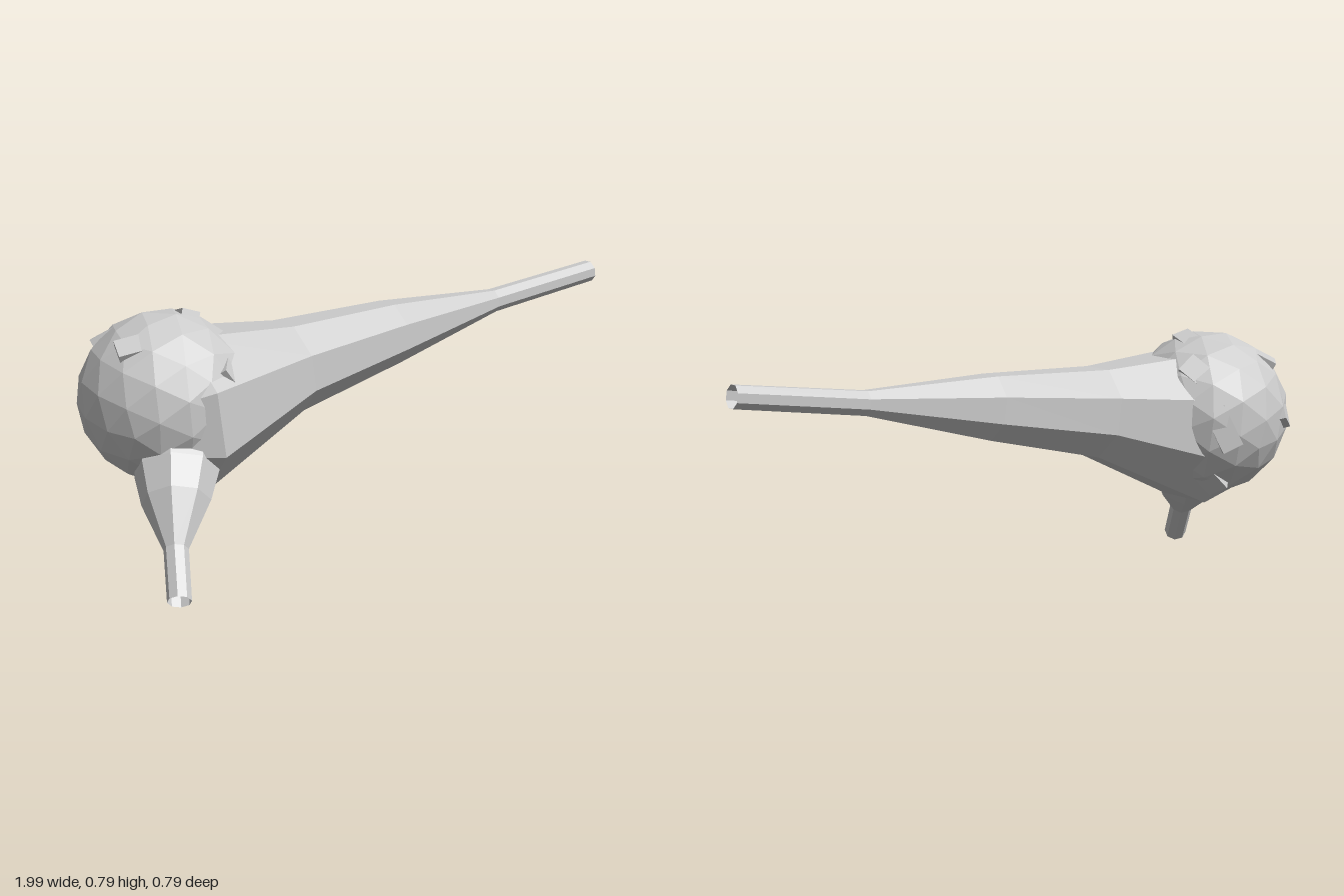
import * as THREE from 'three';

const material = new THREE.MeshStandardMaterial({ color: 0xcccccc, flatShading: true, side: THREE.DoubleSide });

// Faceted tapering tube through rings of [x, y, z, radius]
function taperedTube(name, rings, sides, phase, across) {
  const centres = rings.map(r => new THREE.Vector3(r[0], r[1], r[2]));
  const axis = centres[centres.length - 1].clone().sub(centres[1]).normalize();
  const u = across.clone().addScaledVector(axis, -across.dot(axis)).normalize();
  const v = new THREE.Vector3().crossVectors(axis, u);
  const positions = [], index = [];
  rings.forEach((ring, i) => {
    for (let j = 0; j < sides; j++) {
      const a = phase + (j / sides) * Math.PI * 2;
      const p = centres[i].clone()
        .addScaledVector(u, Math.cos(a) * ring[3])
        .addScaledVector(v, Math.sin(a) * ring[3]);
      positions.push(p.x, p.y, p.z);
      if (i > 0) {
        const k = (j + 1) % sides, lo = (i - 1) * sides, hi = i * sides;
        index.push(lo + j, lo + k, hi + k, lo + j, hi + k, hi + j);
      }
    }
  });
  const geometry = new THREE.BufferGeometry();
  geometry.setAttribute('position', new THREE.Float32BufferAttribute(positions, 3));
  geometry.setIndex(index);
  geometry.computeVertexNormals();
  const mesh = new THREE.Mesh(geometry, material);
  mesh.name = name;
  return mesh;
}

export function createModel() {
  const group = new THREE.Group();
  const centre = new THREE.Vector3(-0.73, 0.52, -0.1);
  const radius = 0.27;

  // Round faceted body
  const body = new THREE.Mesh(new THREE.IcosahedronGeometry(radius, 2), material);
  body.name = 'body';
  body.position.copy(centre);
  body.rotation.set(0.2, 0.3, 0.1);
  group.add(body);

  // Long arm, open at the tip
  group.add(taperedTube('longArm', [
    [-0.87, 0.46, -0.06, 0.19],
    [-0.7, 0.48, -0.07, 0.27],
    [-0.285, 0.55, -0.145, 0.152],
    [0.125, 0.595, -0.225, 0.108],
    [0.56, 0.638, -0.297, 0.04],
    [0.99, 0.685, -0.36, 0.037],
  ], 8, Math.PI / 8, new THREE.Vector3(0, 0, 1)));

  // Short arm, open at the tip
  group.add(taperedTube('shortArm', [
    [-0.74, 0.38, 0.01, 0.13],
    [-0.765, 0.32, 0.07, 0.13],
    [-0.8, 0.255, 0.145, 0.106],
    [-0.85, 0.148, 0.257, 0.038],
    [-0.89, 0.03, 0.37, 0.037],
  ], 8, Math.PI / 8, new THREE.Vector3(1, 0, 0)));

  // Small tilted plates lying on the body: direction, twist, length, width
  const plates = [
    [[0.6, 0.45, 0.75], 0.6, 0.11, 0.06],
    [[-0.5, 0.75, -0.4], 0.3, 0.13, 0.07],
    [[-0.45, 0.75, 0.4], 0.2, 0.14, 0.07],
    [[0.3, 0.9, -0.1], 1.2, 0.12, 0.06],
    [[0.5, 0.6, -0.65], 0.9, 0.11, 0.07],
    [[0.3, -0.1, -0.95], 1.4, 0.14, 0.07],
    [[0.3, -0.7, -0.55], 0.1, 0.14, 0.07],
    [[-0.7, 0.1, -0.65], 0.8, 0.12, 0.07],
  ];
  const outward = new THREE.Vector3(0, 0, 1);
  for (const [dir, twist, length, width] of plates) {
    const n = new THREE.Vector3(...dir).normalize();
    const plate = new THREE.Mesh(new THREE.BoxGeometry(length, width, 0.03), material);
    plate.name = 'surfacePlate';
    plate.position.copy(centre).addScaledVector(n, radius - 0.02);
    plate.quaternion.setFromUnitVectors(outward, n);
    plate.rotateZ(twist);
    plate.rotateY(0.2);
    group.add(plate);
  }
  return group;
}
